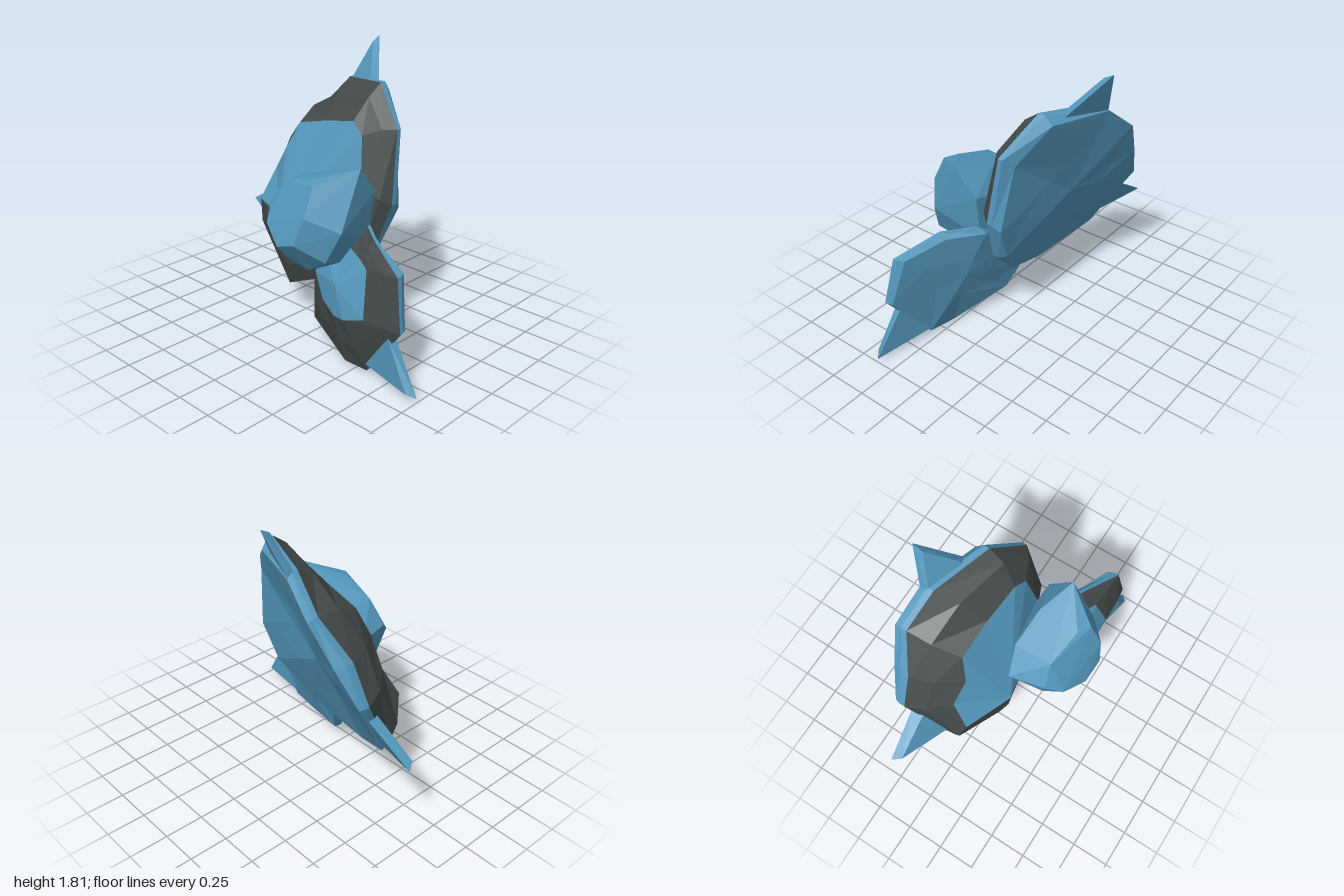
import * as THREE from 'three';
import { ConvexGeometry } from 'three/addons/geometries/ConvexGeometry.js';

const v = (a) => new THREE.Vector3(...a);

// flat-shaded geometry from a list of triangle corners
function facets(points) {
  const g = new THREE.BufferGeometry().setFromPoints(points);
  g.computeVertexNormals();
  return g;
}

// triangles joining two closed rings
function band(a, b) {
  return a.flatMap((p, i) => {
    const j = (i + 1) % a.length;
    return [p, a[j], b[i], a[j], b[j], b[i]];
  });
}

// triangles closing a ring to a point
function cap(ring, centre, flip) {
  return ring.flatMap((p, i) => {
    const q = ring[(i + 1) % ring.length];
    return flip ? [centre, q, p] : [centre, p, q];
  });
}

export function createModel() {
  const blue = new THREE.MeshStandardMaterial({ color: 0x5497bc });
  const dark = new THREE.MeshStandardMaterial({ color: 0x434a49 });
  blue.name = 'steelBlue';
  dark.name = 'charcoal';
  blue.flatShading = dark.flatShading = true;

  const model = new THREE.Group();
  const add = (parent, name, geometry, material) => {
    const m = new THREE.Mesh(geometry, material);
    m.name = name;
    parent.add(m);
  };

  // shell: rows hold the plate edge, the rim and the edge of the back patch
  function shell(name, rows, faceCentre, backCentre, bulge) {
    const group = new THREE.Group();
    group.name = name;
    const [edge, rim, patch] = [0, 3, 6].map((k) => rows.map((r) => v(r.slice(k, k + 3))));
    const core = rim.reduce((s, p) => s.add(p), new THREE.Vector3()).divideScalar(rim.length);
    const bevel = rim.map((p, i) => new THREE.Vector3(p.x * 0.55 + edge[i].x * 0.45, p.y, p.z));
    // ring between rim and patch, pushed away from the core
    const dome = rim.map((p, i) => {
      const m = p.clone().lerp(patch[i], 0.5);
      return m.add(m.clone().sub(core).setLength(bulge));
    });
    // irregular facets on the broad face
    const face = v(faceCentre);
    const inner = edge.map((p, i) => p.clone().lerp(face, i % 2 ? 0.35 : 0.6));
    inner.forEach((p, i) => { p.x += i % 3 ? 0.004 : -0.006; });
    add(group, 'plate', facets([...cap(inner, face, true), ...band(inner, edge)]), blue);
    add(group, 'rim', facets([...band(edge, bevel), ...band(bevel, rim)]), blue);
    add(group, 'dome', facets([...band(rim, dome), ...band(dome, patch)]), dark);
    add(group, 'backPatch', facets(cap(patch, v(backCentre), false)), blue);
    model.add(group);
  }

  shell('largeShell', [
    [0.33, 1.54, 0.16, 0.24, 1.60, 0.17, 0.04, 1.39, 0.13],
    [0.46, 1.53, -0.22, 0.37, 1.56, -0.20, 0.07, 1.34, -0.12],
    [0.50, 1.36, -0.43, 0.42, 1.37, -0.43, 0.08, 1.28, -0.37],
    [0.44, 1.11, -0.575, 0.32, 1.12, -0.605, 0.02, 1.11, -0.44],
    [0.37, 0.87, -0.71, 0.30, 0.87, -0.72, 0.04, 0.94, -0.56],
    [0.09, 0.41, -0.63, 0.03, 0.41, -0.62, -0.07, 0.74, -0.60],
    [-0.08, 0.23, -0.29, -0.11, 0.23, -0.29, -0.17, 0.61, -0.20],
    [0.00, 0.39, 0.10, -0.06, 0.39, 0.10, -0.12, 0.64, 0.05],
    [0.11, 0.64, 0.31, 0.02, 0.62, 0.33, -0.05, 0.73, 0.20],
    [0.15, 0.88, 0.41, 0.06, 0.92, 0.43, -0.04, 1.00, 0.27],
    [0.20, 1.31, 0.34, 0.13, 1.37, 0.40, 0.02, 1.32, 0.22],
  ], [0.23, 0.92, -0.20], [-0.20, 0.74, -0.29], 0.035);

  shell('smallShell', [
    [-0.17, 0.77, 0.54, -0.22, 0.81, 0.54, -0.28, 0.70, 0.48],
    [-0.27, 0.71, 0.80, -0.345, 0.71, 0.82, -0.32, 0.67, 0.57],
    [-0.33, 0.40, 0.87, -0.385, 0.40, 0.88, -0.40, 0.40, 0.62],
    [-0.29, 0.04, 0.60, -0.32, 0.02, 0.58, -0.40, 0.34, 0.46],
    [-0.27, 0.02, 0.40, -0.31, 0.01, 0.40, -0.37, 0.32, 0.36],
    [-0.13, 0.13, 0.02, -0.19, 0.12, 0.02, -0.30, 0.35, 0.20],
    [-0.05, 0.33, -0.05, -0.11, 0.33, -0.05, -0.24, 0.48, 0.08],
    [0.00, 0.62, 0.10, -0.06, 0.64, 0.10, -0.20, 0.62, 0.12],
    [-0.02, 0.77, 0.34, -0.08, 0.81, 0.36, -0.20, 0.71, 0.32],
  ].reverse(), [-0.15, 0.42, 0.40], [-0.36, 0.52, 0.36], 0.012);

  // thin wedge spikes: outer triangle, then inner triangle, tips last
  const spikes = {
    topSpike: [[0.34, 1.555, 0.07], [0.45, 1.52, -0.22], [0.545, 1.815, -0.11],
      [0.29, 1.55, 0.05], [0.39, 1.52, -0.22], [0.48, 1.78, -0.11]],
    backSpike: [[0.28, 0.76, -0.68], [0.13, 0.50, -0.64], [0.25, 0.555, -1.0],
      [0.20, 0.76, -0.67], [0.07, 0.50, -0.63], [0.19, 0.58, -0.96]],
    frontSpike: [[-0.33, 0.34, 0.80], [-0.28, 0.07, 0.58], [-0.37, 0.035, 1.0],
      [-0.38, 0.34, 0.79], [-0.33, 0.07, 0.57], [-0.41, 0.06, 0.95]],
  };
  for (const [name, pts] of Object.entries(spikes)) {
    add(model, name, new ConvexGeometry(pts.map(v)), blue);
  }

  // faceted boulder leaning on both shells
  add(model, 'boulder', new ConvexGeometry([
    [-0.20, 1.21, 0.41], [-0.43, 1.12, 0.25], [-0.05, 1.03, 0.39], [-0.37, 0.86, 0.42],
    [-0.38, 1.13, 0.17], [-0.11, 1.13, 0.18], [-0.34, 1.07, -0.07], [-0.09, 1.05, -0.07],
    [-0.14, 0.90, -0.22], [-0.37, 0.91, -0.17], [-0.47, 0.82, -0.10], [-0.55, 0.78, 0.21],
    [-0.54, 0.73, 0.06], [-0.51, 0.95, 0.26], [-0.40, 0.57, 0.18], [-0.42, 0.67, 0.34],
    [-0.32, 0.54, -0.09], [-0.12, 0.67, -0.14], [-0.20, 0.60, 0.30], [-0.06, 0.72, 0.35],
    [-0.06, 0.72, -0.05], [-0.06, 0.98, -0.05], [-0.03, 0.97, 0.12],
  ].map(v)), blue);

  return model;
}
